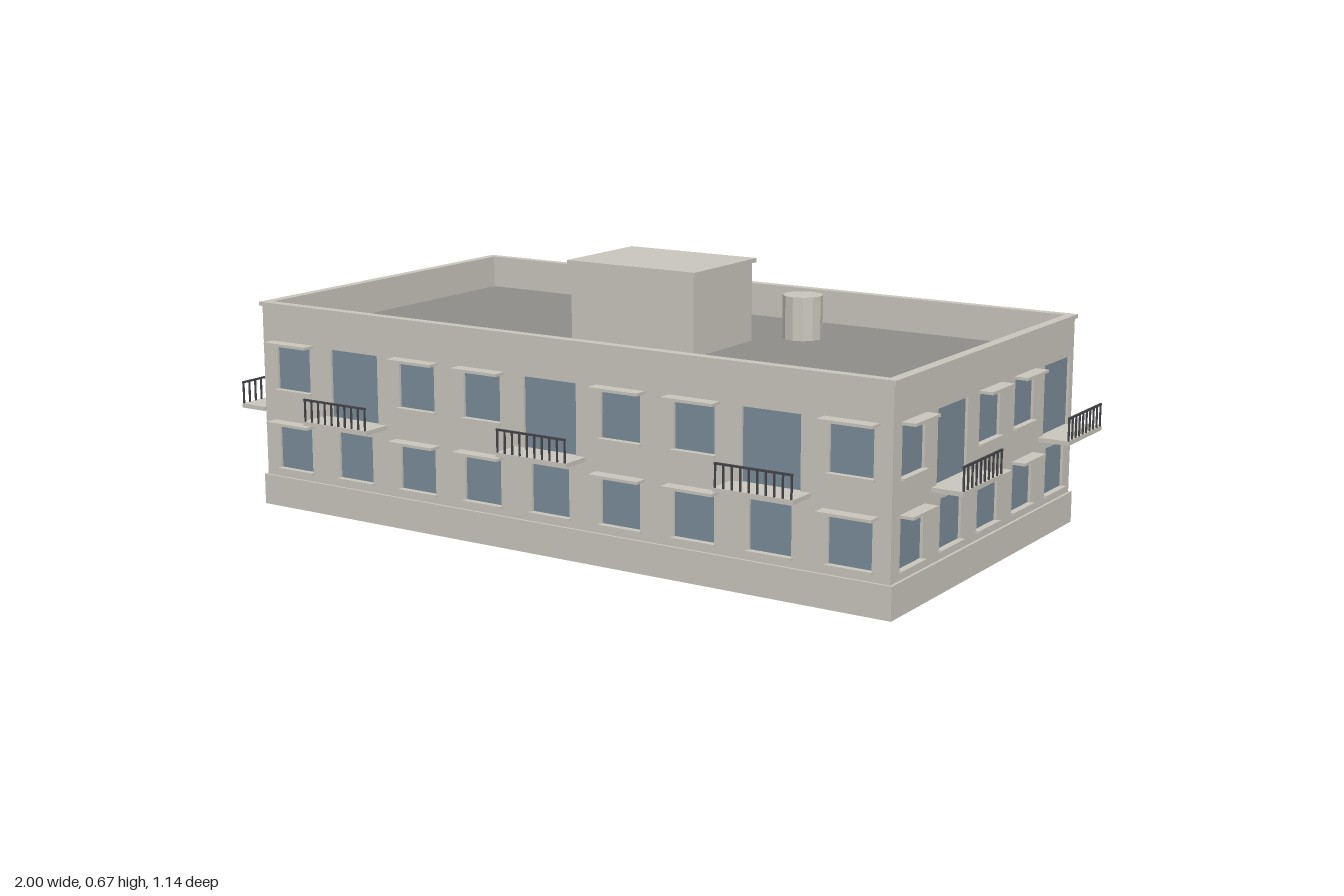
import * as THREE from 'three';

const material = (name, color) => {
  const m = new THREE.MeshStandardMaterial({ color });
  m.name = name;
  return m;
};

export function createModel() {
  const stone = material('stone', 0xcac6bd);
  const roofGrey = material('roof grey', 0x8f8d8a);
  const glass = material('window glass', 0x7b8c99);
  const iron = material('railing iron', 0x45454a);

  const W = 0.92, D = 0.49, T = 0.02; // half width, half depth, wall thickness
  const BASE = 0.08, TOP = 0.53;
  const model = new THREE.Group();
  model.name = 'building';

  function add(parent, name, geometry, mat, x = 0, y = 0, z = 0) {
    const mesh = new THREE.Mesh(geometry, mat);
    mesh.name = name;
    mesh.position.set(x, y, z);
    parent.add(mesh);
    return mesh;
  }

  // Box given by its bottom and top heights
  const block = (parent, name, mat, w, y0, y1, d, x = 0, z = 0) =>
    add(parent, name, new THREE.BoxGeometry(w, y1 - y0, d), mat, x, (y0 + y1) / 2, z);

  const rect = (Type, x0, y0, x1, y1) => {
    const p = new Type();
    p.moveTo(x0, y0);
    p.lineTo(x1, y0);
    p.lineTo(x1, y1);
    p.lineTo(x0, y1);
    p.closePath();
    return p;
  };

  // Rectangular ring running around the building
  function ring(name, outX, outZ, inX, inZ, y0, y1) {
    const shape = rect(THREE.Shape, -outX, -outZ, outX, outZ);
    shape.holes.push(rect(THREE.Path, -inX, -inZ, inX, inZ));
    const geo = new THREE.ExtrudeGeometry(shape, { depth: y1 - y0, bevelEnabled: false });
    geo.rotateX(-Math.PI / 2);
    add(model, name, geo, stone, 0, y0, 0);
  }

  function balcony(parent, x) {
    const g = new THREE.Group();
    g.name = 'balcony';
    g.position.x = x;
    parent.add(g);
    const w = 0.208;
    block(g, 'balconySlab', stone, w, 0.25, 0.261, 0.08, 0, 0.04);
    block(g, 'handrail', iron, w - 0.004, 0.315, 0.32, 0.005, 0, 0.0775);
    for (let i = 0; i < 10; i++) {
      block(g, 'baluster', iron, 0.004, 0.261, 0.315, 0.004, -0.099 + i * 0.022, 0.0775);
    }
  }

  // One facade: its outer face lies on local z = 0
  function facade(name, half, wallHalf, columns, distance, angle, awningW) {
    const pivot = new THREE.Group();
    pivot.name = name;
    pivot.rotation.y = angle;
    model.add(pivot);
    const g = new THREE.Group();
    g.position.z = distance;
    pivot.add(g);

    const wall = rect(THREE.Shape, -wallHalf, BASE, wallHalf, TOP);
    const step = (2 * half) / columns;

    function windowAt(x, w, y0, y1) {
      wall.holes.push(rect(THREE.Path, x - w / 2, y0, x + w / 2, y1));
      block(g, 'windowPane', glass, w, y0, y1, 0.006, x, -T / 2);
    }
    const sill = (x, y) => block(g, 'windowSill', stone, 0.12, y - 0.006, y, 0.01, x, 0.005);
    const awning = (x, y) => block(g, 'awning', stone, awningW, y, y + 0.007, 0.035, x, 0.0175);

    for (let i = 0; i < columns; i++) {
      const x = -half + step * (i + 0.5);
      const hasBalcony = i % 3 === 1;
      windowAt(x, 0.111, 0.104, 0.224);
      sill(x, 0.104);
      if (hasBalcony) {
        windowAt(x, 0.154, 0.261, 0.437);
        balcony(g, x);
      } else {
        awning(x, 0.224);
        windowAt(x, 0.111, 0.314, 0.434);
        sill(x, 0.314);
        awning(x, 0.434);
      }
    }
    add(g, 'wall', new THREE.ExtrudeGeometry(wall, { depth: T, bevelEnabled: false }), stone, 0, 0, -T);
  }

  facade('frontFacade', W, W, 9, D, 0, 0.139);
  facade('backFacade', W, W, 9, D, Math.PI, 0.139);
  facade('rightFacade', D, D - T, 5, W, Math.PI / 2, 0.122);
  facade('leftFacade', D, D - T, 5, W, -Math.PI / 2, 0.122);

  // Plinth and parapet coping
  ring('plinth', W + 0.007, D + 0.007, W - T - 0.004, D - T - 0.004, 0, BASE);
  ring('parapetCoping', W + 0.006, D + 0.006, W - T, D - T, TOP, 0.54);

  // Flat roof with stair house and vents
  block(model, 'roof', roofGrey, 2 * (W - T), 0.44, 0.452, 2 * (D - T));
  block(model, 'stairHouse', stone, 0.368, 0.452, 0.655, 0.278);
  block(model, 'stairHouseCap', stone, 0.384, 0.655, 0.666, 0.294);
  for (const side of [-1, 1]) {
    const vent = new THREE.CylinderGeometry(0.052, 0.052, 0.113, 12).toNonIndexed();
    vent.computeVertexNormals();
    add(model, 'roofVent', vent, stone, side * 0.273, 0.5085, -0.246);
  }
  return model;
}
